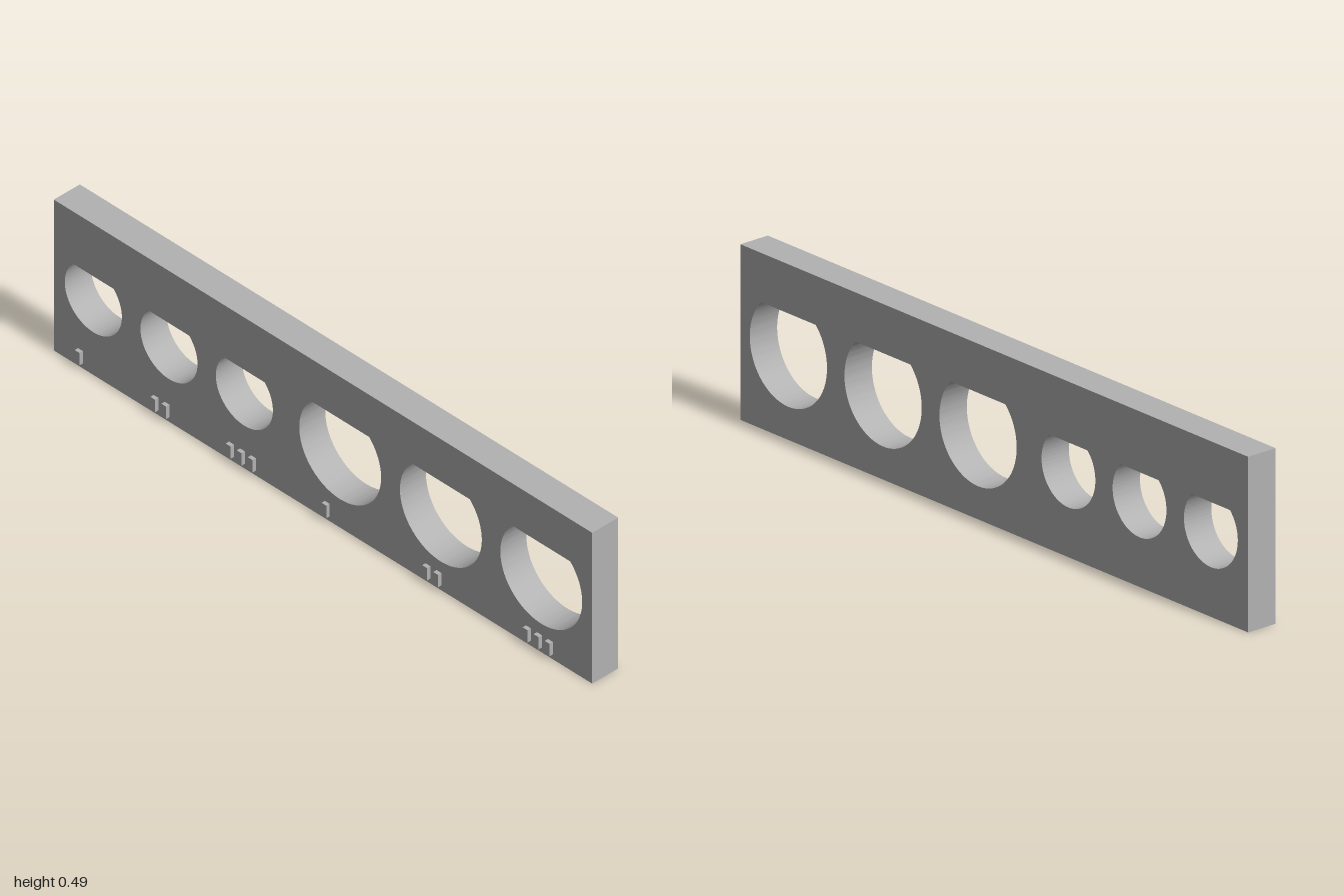
import * as THREE from 'three';
import { toCreasedNormals } from 'three/addons/utils/BufferGeometryUtils.js';

const HEIGHT = 0.488, BACK = -0.053, FRONT = 0.041, TAB_FRONT = 0.053;

// Each hole: centre x, radius, and number of marker tabs below it
const HOLES = [
  [-0.853, 0.106, 1], [-0.572, 0.106, 2], [-0.292, 0.106, 3],
  [0.064, 0.152, 1], [0.438, 0.152, 2], [0.811, 0.152, 3],
];

// Circle whose 45 degree tangents meet in a point at the top
function teardrop(x, y, r) {
  const path = new THREE.Path();
  path.moveTo(x, y + r * Math.SQRT2);
  path.absarc(x, y, r, Math.PI * 0.25, Math.PI * 0.75, true);
  path.closePath();
  return path;
}

export function createModel() {
  const group = new THREE.Group();
  group.name = 'holeRack';
  const grey = new THREE.MeshStandardMaterial({ color: 0xb2b2b2 });
  grey.name = 'grey';

  // Plate with teardrop holes
  const outline = new THREE.Shape([
    new THREE.Vector2(-1, 0), new THREE.Vector2(1, 0),
    new THREE.Vector2(1, HEIGHT), new THREE.Vector2(-1, HEIGHT),
  ]);
  for (const [x, r] of HOLES) outline.holes.push(teardrop(x, HEIGHT / 2, r));
  const plateGeometry = new THREE.ExtrudeGeometry(outline, {
    depth: FRONT - BACK, bevelEnabled: false, curveSegments: 48,
  });
  plateGeometry.translate(0, 0, BACK);
  const plate = new THREE.Mesh(toCreasedNormals(plateGeometry, 0.5), grey);
  plate.name = 'plate';
  group.add(plate);

  // Raised counting tabs, one to three under each hole
  const tabGeometry = new THREE.BoxGeometry(0.018, 0.04, TAB_FRONT - FRONT);
  for (const [x, , count] of HOLES) {
    for (let i = 0; i < count; i++) {
      const tab = new THREE.Mesh(tabGeometry, grey);
      tab.name = 'countingTab';
      tab.position.set(x - 0.048 + i * 0.041, 0.036, (FRONT + TAB_FRONT) / 2);
      group.add(tab);
    }
  }
  return group;
}
